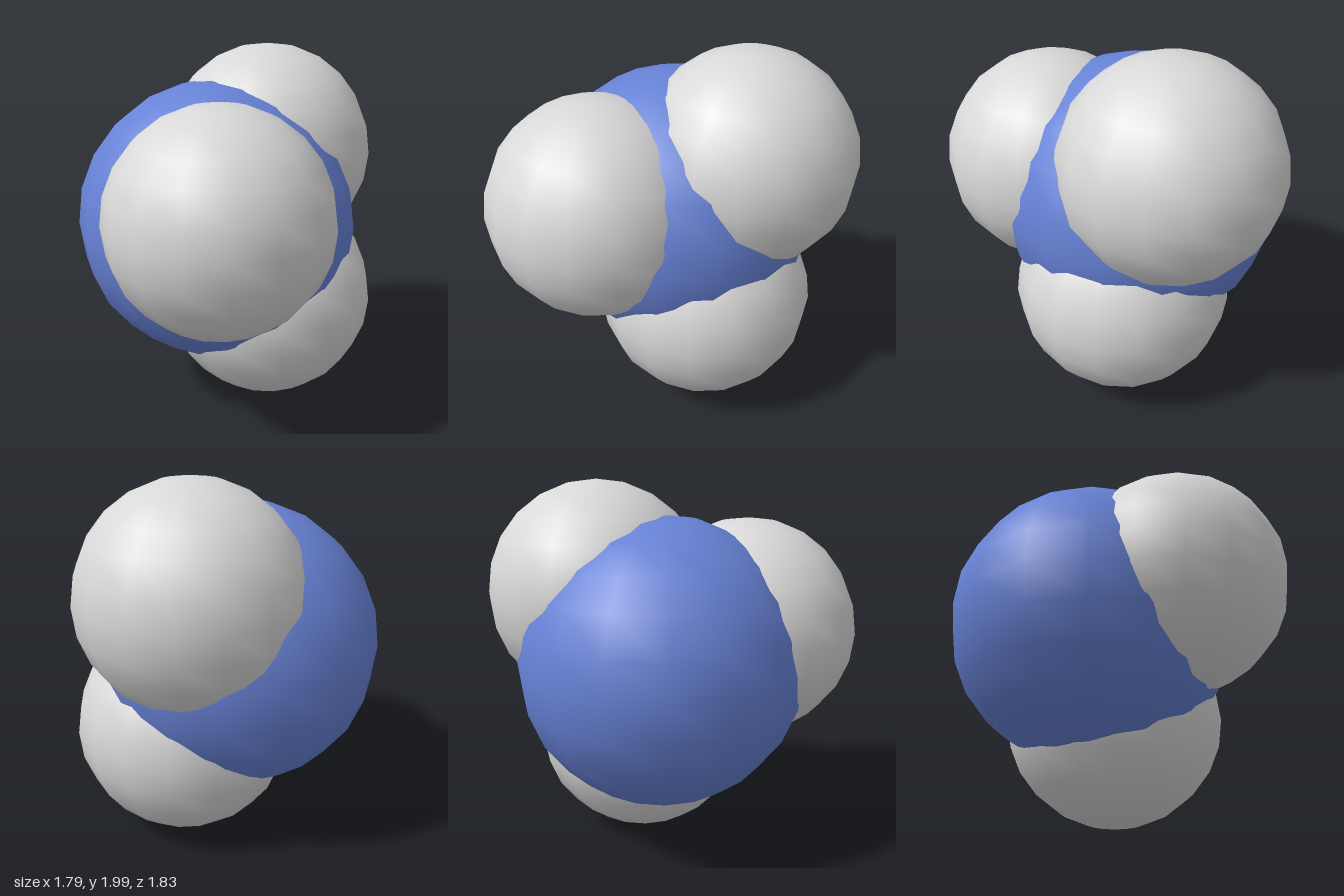
import * as THREE from 'three';

export function createModel() {
  const model = new THREE.Group();
  model.name = 'molecule';

  const blue = new THREE.MeshStandardMaterial({ color: 0x6782d6 });
  blue.name = 'blue';
  const lightGrey = new THREE.MeshStandardMaterial({ color: 0xd8d8d8 });
  lightGrey.name = 'light grey';

  function addAtom(name, radius, material, position) {
    const atom = new THREE.Mesh(new THREE.SphereGeometry(radius, 16, 12), material);
    atom.name = name;
    atom.position.set(...position);
    model.add(atom);
  }

  // Large central atom
  addAtom('centralAtom', 0.775, blue, [-0.081, 1.055, -0.138]);

  // Three smaller atoms sunk into it
  addAtom('frontAtom', 0.597, lightGrey, [-0.303, 1.2, 0.317]);
  addAtom('upperAtom', 0.597, lightGrey, [0.298, 1.403, -0.236]);
  addAtom('lowerAtom', 0.597, lightGrey, [0.178, 0.605, -0.015]);

  return model;
}
